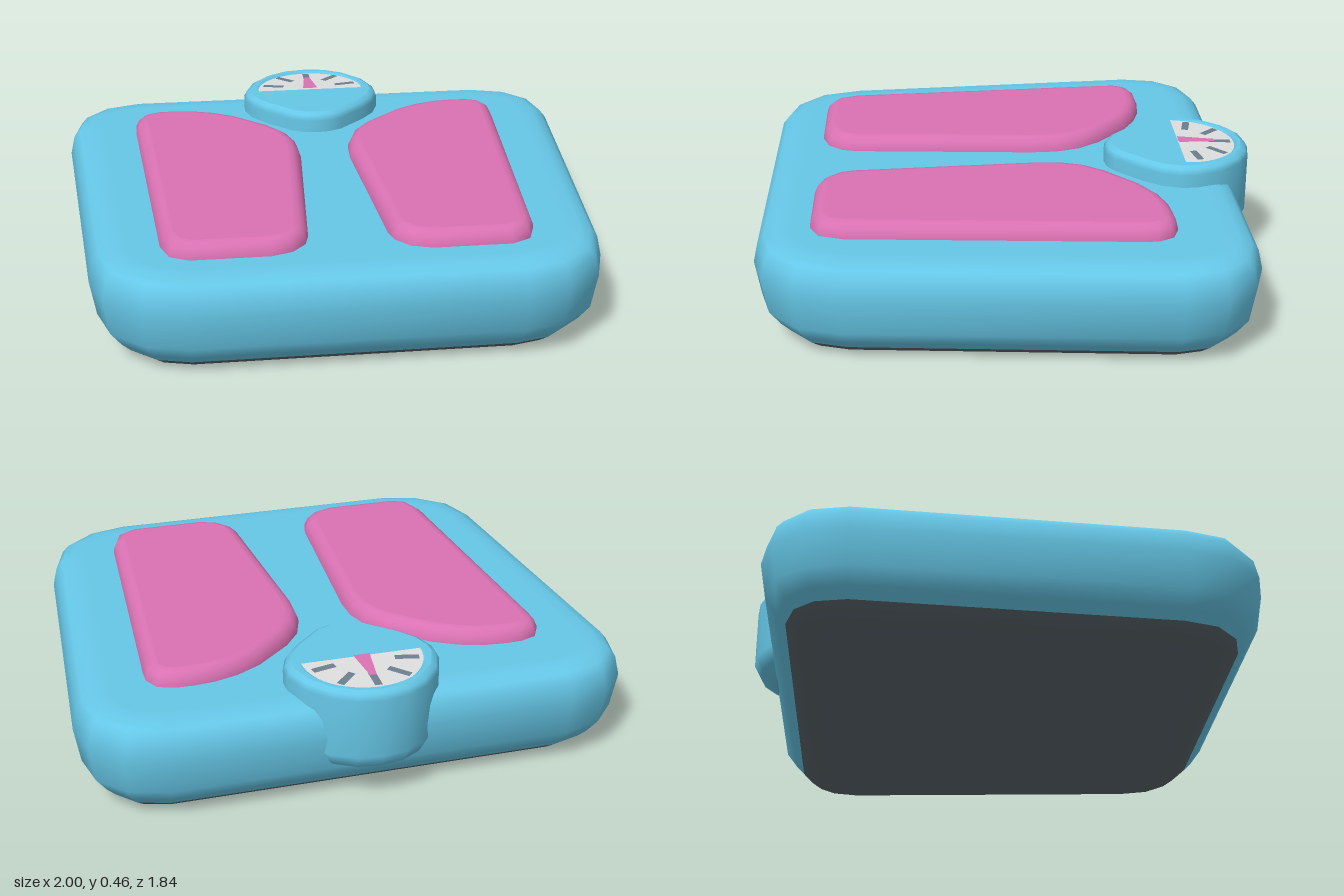
import * as THREE from 'three';

const material = (name, color) => {
  const m = new THREE.MeshStandardMaterial({ color });
  m.name = name;
  return m;
};

// Outlines are plan points (x, -z), counter-clockwise from above.
const plan = (pts) => pts.map(([x, z]) => new THREE.Vector2(x, -z));
const mirrored = (half) => plan([
  ...half,
  ...half.filter(([x]) => x > 0).reverse().map(([x, z]) => [-x, z]),
]);

// Move every edge of an outline inwards by d.
function inset(pts, d) {
  const n = pts.length;
  const normal = (a, b) => new THREE.Vector2(a.y - b.y, b.x - a.x).normalize();
  return pts.map((p, i) => {
    const n1 = normal(pts[(i + n - 1) % n], p);
    const n2 = normal(p, pts[(i + 1) % n]);
    const k = d / (1 + n1.dot(n2));
    return p.clone().add(n1.add(n2).multiplyScalar(k));
  });
}

// Skin between outlines at levels [y, inset], from bottom to top.
function wall(outline, levels) {
  const n = outline.length, pos = [], index = [];
  levels.forEach(([y, d], r) => inset(outline, d).forEach((p, i) => {
    pos.push(p.x, y, -p.y);
    if (r === 0) return;
    const j = (i + 1) % n, a = (r - 1) * n, b = r * n;
    index.push(a + i, a + j, b + j, a + i, b + j, b + i);
  }));
  const g = new THREE.BufferGeometry();
  g.setAttribute('position', new THREE.Float32BufferAttribute(pos, 3));
  g.setIndex(index);
  g.computeVertexNormals();
  return g;
}

// Solid with rounded walls, a flat top (with optional hole) and optional bottom.
function solid(name, outline, levels, mat, { hole, bottom = false, top = true } = {}) {
  const group = new THREE.Group();
  group.name = name;
  group.add(new THREE.Mesh(wall(outline, levels), mat));
  if (top) {
    const [y, d] = levels[levels.length - 1];
    const shape = new THREE.Shape(inset(outline, d));
    if (hole) shape.holes.push(new THREE.Path(hole));
    group.add(new THREE.Mesh(new THREE.ShapeGeometry(shape).rotateX(-Math.PI / 2).translate(0, y, 0), mat));
  }
  if (bottom) {
    const [y, d] = levels[0];
    const pts = inset(outline, d).map((p) => new THREE.Vector2(p.x, -p.y)).reverse();
    group.add(new THREE.Mesh(new THREE.ShapeGeometry(new THREE.Shape(pts)).rotateX(Math.PI / 2).translate(0, y, 0), mat));
  }
  return group;
}

export function createModel() {
  const model = new THREE.Group();
  model.name = 'bathroomScale';
  const blue = material('blue', 0x66c7e7);
  const pink = material('pink', 0xda72b3);
  const dark = material('darkGrey', 0x5c686d);
  const pale = material('paleGrey', 0xdedfdf);
  const slate = material('slate', 0x6c7f8d);

  // Body and its dark underside
  const body = mirrored([[0.58, 0.92], [0.73, 0.882], [0.86, 0.77], [0.91, 0.61],
    [1, -0.55], [0.97, -0.7], [0.87, -0.81], [0.72, -0.855]]);
  model.add(solid('body', body, [[0.035, 0.095], [0.07, 0.062], [0.125, 0.022], [0.255, 0],
    [0.325, 0.016], [0.355, 0.04], [0.37, 0.08], [0.372, 0.13]], blue));
  model.add(solid('base', body, [[0, 0.22], [0, 0.14], [0.035, 0.095]], dark, { bottom: true, top: false }));

  // Foot pads
  const pad = [[0.28, 0.72], [0.56, 0.72], [0.63, 0.685], [0.66, 0.6], [0.73, -0.43], [0.73, -0.49],
    [0.7, -0.545], [0.64, -0.567], [0.58, -0.569], [0.5, -0.562], [0.41, -0.535], [0.32, -0.485], [0.19, -0.37],
    [0.13, -0.29], [0.1, -0.2], [0.095, -0.1], [0.14, 0.58], [0.155, 0.64], [0.205, 0.695]];
  const padLevels = [[0.365, 0], [0.385, 0.002], [0.41, 0.013], [0.423, 0.032], [0.426, 0.05]];
  model.add(solid('leftFootPad', plan(pad), padLevels, pink));
  model.add(solid('rightFootPad', plan(pad.map(([x, z]) => [-x, z]).reverse()), padLevels, pink));

  // Dial housing, with a half-round opening in its top
  const cz = -0.655, topY = 0.45, tilt = 0.045, steps = 24;
  const housing = mirrored([[0, -0.37], [0.05, -0.376], [0.1, -0.4], [0.2, -0.495], [0.25, -0.56],
    [0.275, -0.63], [0.275, -0.69], [0.24, -0.785], [0.17, -0.865], [0.09, -0.91], [0, -0.924]]);
  const arc = (r) => Array.from({ length: steps + 1 }, (_, i) => {
    const a = (i / steps) * Math.PI;
    return new THREE.Vector2(r * Math.cos(a), r * Math.sin(a));
  });
  const rim = arc(0.224), faceEdge = arc(0.216);
  model.add(solid('dialHousing', housing, [[0.12, 0.08], [0.15, 0.025], [0.2, 0], [0.42, 0],
    [0.44, 0.01], [topY, 0.028]], blue, {
    hole: rim.map((p) => new THREE.Vector2(p.x, p.y - cz)), bottom: true,
  }));

  // Sloping wall between the opening and the sunken face
  const wallPos = [], wallIndex = [];
  rim.forEach((p, i) => {
    const q = faceEdge[i];
    wallPos.push(p.x, topY, cz - p.y, q.x, topY - q.y * tilt, cz - q.y);
    if (i < steps) wallIndex.push(2 * i, 2 * i + 2, 2 * i + 1, 2 * i + 1, 2 * i + 2, 2 * i + 3);
  });
  const recess = new THREE.BufferGeometry();
  recess.setAttribute('position', new THREE.Float32BufferAttribute(wallPos, 3));
  recess.setIndex(wallIndex);
  recess.computeVertexNormals();
  const recessMesh = new THREE.Mesh(recess, blue);
  recessMesh.name = 'dialRecess';
  model.add(recessMesh);

  // Dial face, tilted slightly down towards the back, with marks and needle
  const dial = new THREE.Group();
  dial.name = 'dial';
  dial.position.set(0, topY, cz);
  dial.rotation.x = -Math.PI / 2 - tilt;
  const face = new THREE.Mesh(new THREE.ShapeGeometry(new THREE.Shape(faceEdge)), pale);
  face.name = 'dialFace';
  dial.add(face);
  // Marks: x, height on the face, slope in degrees
  [[0.15, 0.051, 12], [0.095, 0.135, 45], [0, 0.16, 90], [-0.095, 0.135, 135], [-0.15, 0.051, 168]].forEach(([x, y, deg]) => {
    const mark = new THREE.Mesh(new THREE.PlaneGeometry(0.085, 0.027), slate);
    mark.name = 'dialMark';
    mark.position.set(x, y, 0.003);
    mark.rotation.z = THREE.MathUtils.degToRad(deg);
    dial.add(mark);
  });
  const needle = new THREE.Mesh(new THREE.ShapeGeometry(new THREE.Shape(
    [[-0.03, 0], [0.03, 0], [0.012, 0.14], [-0.012, 0.14]].map(([x, y]) => new THREE.Vector2(x, y)))), pink);
  needle.name = 'needle';
  needle.position.z = 0.006;
  dial.add(needle);
  model.add(dial);

  return model;
}
